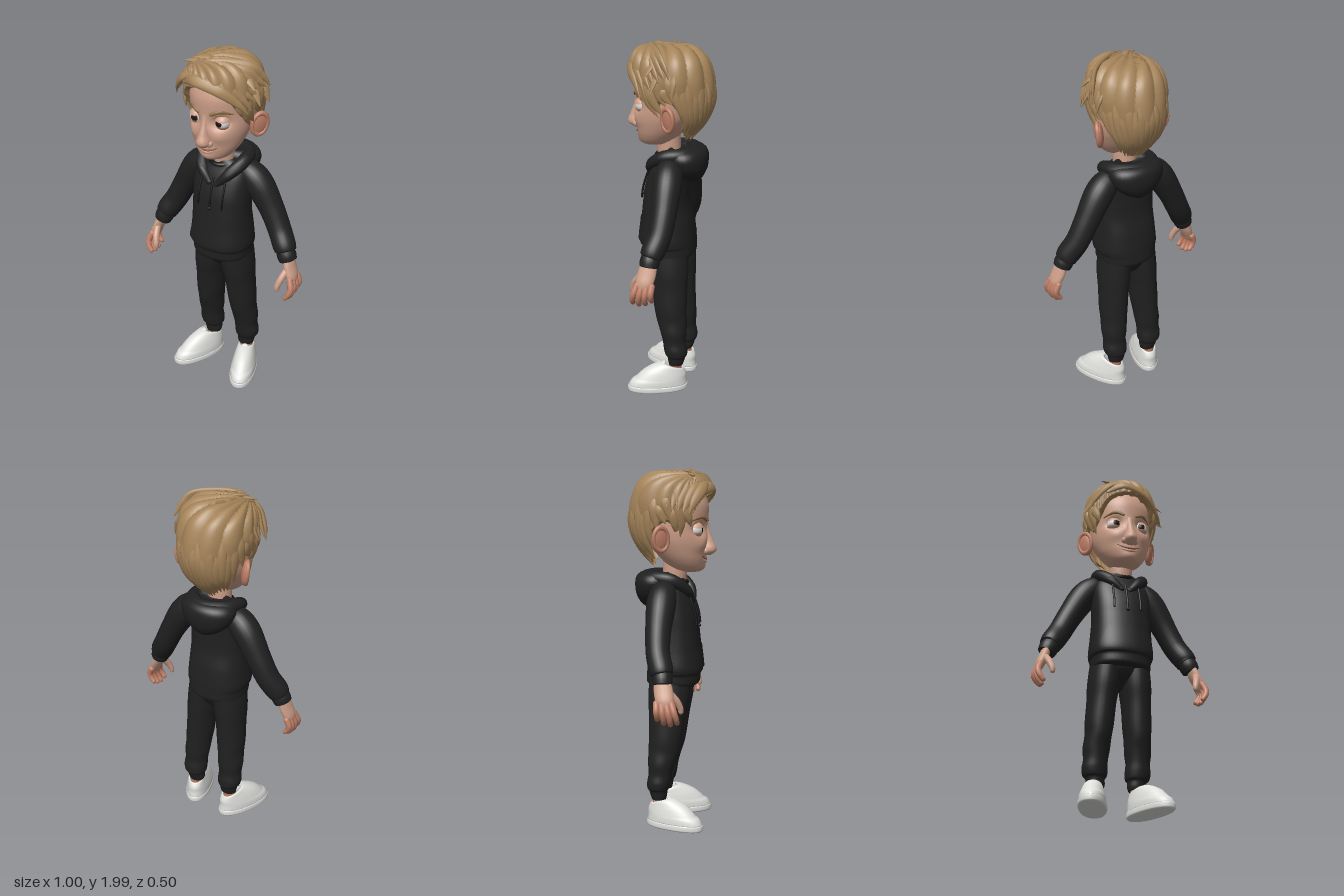
import * as THREE from 'three';
import { ParametricGeometry } from 'three/addons/geometries/ParametricGeometry.js';

const { clamp, lerp } = THREE.MathUtils;
const mat = (name, color, side = THREE.FrontSide) => {
  const m = new THREE.MeshStandardMaterial({ color, side });
  m.name = name;
  return m;
};

// Smooth interpolation through rows of numbers; t runs over row indices
function rowAt(rows, t) {
  const n = rows.length, i = clamp(Math.floor(t), 0, n - 2), f = clamp(t - i, 0, 1);
  const a = rows[Math.max(i - 1, 0)], b = rows[i], c = rows[i + 1], d = rows[Math.min(i + 2, n - 1)];
  return b.map((p, k) => p + 0.5 * f * (c[k] - a[k] + f * (2 * a[k] - 5 * p + 4 * c[k] - d[k] + f * (3 * (p - c[k]) + d[k] - a[k]))));
}
// Same, looked up by the first number of each row
function rowBy(rows, key) {
  let i = 0;
  while (i < rows.length - 2 && rows[i + 1][0] < key) i++;
  return rowAt(rows, i + clamp((key - rows[i][0]) / (rows[i + 1][0] - rows[i][0]), 0, 1));
}
const soft = (s, e) => Math.sign(s) * Math.abs(s) ** e;
const ring = ([y, x, z, rx, rz], a, e, k, target) =>
  target.set(x + rx * k * soft(Math.sin(a), e), y, z + rz * k * soft(Math.cos(a), e));

// Closed body from horizontal rings [y, x, z, rx, rz]; angle 0 faces the front
function loft(rows, { e = 1, sides = 32, steps = 4, shape } = {}) {
  const n = (rows.length - 1) * steps;
  return new ParametricGeometry((u, v, p) => {
    const w = v * (n + 2), cap = 0.001 + 0.999 * clamp(Math.min(w, n + 2 - w), 0, 1);
    ring(rowAt(rows, clamp(w - 1, 0, n) / steps), u * Math.PI * 2, e, cap, p);
    if (shape) shape(p);
  }, sides, n + 2);
}

// Tapering tube through [x, y, z, radius]; flat scales it along ref, cap is the length of its rounded ends
function limb(pts, { ref = [0, 0, 1], flat = 1, sides = 12, steps = 5, cap = 1 } = {}) {
  const m = (pts.length - 1) * steps, R = new THREE.Vector3(...ref);
  return new ParametricGeometry((u, v, p) => {
    const w = v * (m + 6) - 3, t = clamp(w, 0, m) / steps, c = rowAt(pts, t);
    const q = rowAt(pts, Math.max(t - 0.02, 0)), s = rowAt(pts, Math.min(t + 0.02, pts.length - 1));
    const T = new THREE.Vector3(s[0] - q[0], s[1] - q[1], s[2] - q[2]).normalize();
    const B = new THREE.Vector3().crossVectors(T, R).normalize();
    const N = new THREE.Vector3().crossVectors(B, T);
    const over = w < 0 ? w : Math.max(w - m, 0), th = over / 3 * 1.55, r = c[3] * Math.cos(th), a = u * Math.PI * 2;
    p.set(c[0], c[1], c[2]).addScaledVector(T, c[3] * cap * Math.sin(th))
      .addScaledVector(N, Math.cos(a) * r * flat).addScaledVector(B, Math.sin(a) * r);
  }, sides, m + 6);
}
const flip = (pts, s) => pts.map(([x, ...rest]) => [x * s, ...rest]);

const TORSO = [[.8, 0, .01, .155, .135], [.815, 0, .01, .167, .148], [.86, 0, .012, .17, .15], [.875, 0, .018, .178, .155],
  [.91, 0, .02, .181, .155], [1, 0, .02, .173, .145], [1.1, 0, .025, .168, .13], [1.2, 0, .02, .168, .122],
  [1.3, 0, .003, .165, .108], [1.36, 0, -.005, .14, .09], [1.395, 0, 0, .09, .075]];
const HEAD = [[1.43, 0, .105, .035, .045], [1.45, 0, .085, .085, .09], [1.5, 0, .065, .125, .124], [1.56, 0, .04, .152, .152],
  [1.62, 0, .02, .168, .183], [1.7, 0, 0, .174, .2], [1.8, 0, 0, .174, .202], [1.88, 0, 0, .14, .165], [1.93, 0, 0, .07, .08]];
const HAIR = [[1.46, 0, -.03, .09, .07], [1.52, 0, -.03, .13, .112], [1.58, 0, -.03, .16, .165], [1.65, 0, -.02, .183, .208],
  [1.73, 0, 0, .2, .24], [1.82, 0, 0, .21, .23], [1.9, 0, .01, .195, .212], [1.95, 0, .02, .155, .175],
  [1.975, 0, .02, .1, .12], [1.985, 0, .02, .003, .003]];
const HAIRLINE = [[0, 1.85], [.6, 1.82], [1, 1.73], [1.25, 1.64], [1.5, 1.7], [1.8, 1.68], [2.1, 1.53], [Math.PI, 1.465]];
const on = (rows, y, a, k = 1, e = 1) => ring(rowBy(rows, y), a, e, k, new THREE.Vector3());
const faceZ = (x, y) => { const [, , z, rx, rz] = rowBy(HEAD, y); return z + rz * Math.sqrt(Math.max(0, 1 - (x / rx) ** 2)); };

export function createModel() {
  const model = new THREE.Group();
  const skin = mat('skin', 0xcc9e88), blush = mat('flushed skin', 0xc08068), lip = mat('lip', 0x8f5548);
  const hair = mat('hair', 0xa5845a, THREE.DoubleSide), brow = mat('brow', 0x8f6d45);
  const cloth = mat('black cloth', 0x202020, THREE.DoubleSide), trim = mat('dark trim', 0x121212);
  const white = mat('white', 0xdededb), grey = mat('grey', 0xb4b4b0), dark = mat('eye brown', 0x1e140f);
  const add = (name, geo, material, parent = model) => {
    const m = new THREE.Mesh(geo, material);
    m.name = name;
    parent.add(m);
    return m;
  };

  // Hoodie body, pocket and hood
  add('hoodieBody', loft(TORSO, { e: .85, sides: 40 }), cloth);
  add('frontPocket', new ParametricGeometry((u, v, p) => {
    const edge = Math.min(u, 1 - u, v, 1 - v) < .04 ? 1 : 1.035;
    ring(rowBy(TORSO, lerp(.89, 1.03, v)), (u * 2 - 1) * lerp(1.05, .6, v ** 2), .85, edge, p);
  }, 30, 26), cloth);
  add('hoodBag', loft([[1.235, 0, -.125, .03, .025], [1.26, 0, -.112, .085, .065], [1.31, 0, -.1, .14, .1], [1.37, 0, -.09, .165, .115],
    [1.41, 0, -.085, .15, .108], [1.43, 0, -.08, .11, .08], [1.415, 0, -.07, .07, .055]]), cloth);
  const rim = [[.025, 1.27, .115, .018], [.085, 1.335, .09, .032], [.128, 1.39, .01, .038], [.1, 1.4, -.09, .04]];
  add('hoodRim', limb([...rim, [0, 1.395, -.135, .045], ...flip(rim, -1).reverse()], { ref: [0, 1, 0], steps: 6 }), cloth);
  add('zip', limb([1.3, 1.24, 1.18, 1.13].map(y => { const p = on(TORSO, y, 0); return [0, y, p.z + .002, .006]; })), trim);
  add('zipPull', new THREE.SphereGeometry(.01, 10, 8), trim).position.set(0, 1.13, .155);
  add('shirtCollar', new THREE.TorusGeometry(.07, .012, 8, 32).rotateX(Math.PI / 2 + .2).translate(0, 1.385, .015), trim);
  add('necklace', new THREE.TorusGeometry(.072, .004, 6, 32).rotateX(Math.PI / 2 + .45).translate(0, 1.355, .03), grey);
  add('neck', limb([[0, 1.32, 0, .06], [0, 1.4, .015, .066], [0, 1.52, .02, .068]], { sides: 24 }), skin);
  add('hips', loft([[.7, 0, -.005, .02, .03], [.735, 0, -.003, .1, .075], [.785, 0, 0, .16, .108], [.83, 0, 0, .165, .122]]), cloth);

  // Head with eye sockets, cheeks and chin
  const bell = (p, x, y, w, h) => Math.exp(-(((Math.abs(p.x) - x) / w) ** 2) - ((p.y - y) / h) ** 2);
  add('head', loft(HEAD, { sides: 64, steps: 6, shape: p => {
    if (p.z > .05) p.z += .012 * bell(p, .085, 1.575, .05, .035) - .04 * bell(p, .08, 1.665, .04, .033) + .008 * bell(p, 0, 1.455, .04, .025);
  } }), skin);
  add('nose', loft([[1.522, 0, .195, .016, .02], [1.54, 0, .2, .036, .042], [1.562, 0, .2, .038, .048], [1.6, 0, .19, .028, .043],
    [1.66, 0, .18, .021, .03], [1.72, 0, .175, .024, .022]], { sides: 20 }), skin);
  const arc = (w, y, bend, r, out) => [-1, -.5, 0, .5, 1].map(k =>
    [k * w, y + bend * k * k, faceZ(k * w, y + bend * k * k) + out, r * (1.15 - Math.abs(k) * .6)]);
  add('mouth', limb(arc(.066, 1.5, .022, .0045, .002)), lip);
  add('lowerLip', limb(arc(.04, 1.488, .008, .009, -.002)), skin);

  for (const s of [1, -1]) {
    // Eye with heavy lids, brow and nose wing
    const eye = new THREE.Group();
    eye.name = s > 0 ? 'leftEye' : 'rightEye';
    eye.position.set(.079 * s, 1.664, .14);
    model.add(eye);
    add('eyeball', new THREE.SphereGeometry(.041, 24, 16), white, eye);
    add('iris', new THREE.SphereGeometry(.0422, 20, 6, 0, Math.PI * 2, 0, .5).rotateX(Math.PI / 2).rotateY(-.1 * s), dark, eye);
    add('upperLid', new THREE.SphereGeometry(.0455, 24, 12, 0, Math.PI * 2, 0, 1.22).rotateX(.1).rotateZ(-.12 * s), skin, eye);
    add('lowerLid', new THREE.SphereGeometry(.0445, 24, 10, 0, Math.PI * 2, 1.95, Math.PI - 1.95), skin, eye);
    add('eyebrow', limb([[.04, 1.714], [.085, 1.732], [.135, 1.714]].map(([x, y], i) =>
      [x * s, y, faceZ(x, y) + .001, [.009, .01, .004][i]]), { flat: .7 }), brow);
    add('noseWing', new THREE.SphereGeometry(.02, 14, 10).translate(.03 * s, 1.546, .193), skin);

    // Ear
    const ear = new THREE.Group();
    ear.name = s > 0 ? 'leftEar' : 'rightEar';
    ear.position.set(.194 * s, 1.615, -.035);
    ear.rotation.set(-.15, -.6 * s, -.18 * s);
    model.add(ear);
    add('earShell', new THREE.SphereGeometry(1, 20, 14).scale(.02, .072, .05), blush, ear);
    add('earRim', new THREE.TorusGeometry(.05, .012, 8, 28).rotateY(Math.PI / 2).scale(1, 1.25, .88).translate(.008 * s, .003, 0), blush, ear);

    // Sleeve, cuff and hand
    add('sleeve', limb(flip([[.08, 1.345, -.02, .05], [.15, 1.315, -.025, .074], [.21, 1.255, -.03, .08], [.285, 1.13, -.033, .07],
      [.342, 1.02, -.025, .066], [.388, .945, -.002, .065], [.4, .918, .005, .06]], s), { sides: 24, cap: .2 }), cloth);
    add('cuff', limb(flip([[.395, .93, .004, .05], [.412, .895, .01, .054], [.424, .868, .012, .05]], s), { sides: 20, cap: .15 }), cloth);
    add('palm', limb(flip([[.43, .87, .012, .025], [.443, .83, .02, .027], [.462, .785, .028, .025], [.47, .755, .028, .018]], s), { flat: 1.9, sides: 16 }), skin);
    add('thumb', limb(flip([[.44, .83, .045, .02], [.425, .785, .085, .019], [.413, .745, .104, .017], [.41, .722, .108, .014]], s)), skin);
    for (let i = 0; i < 4; i++) {
      const z = .066 - i * .027, len = [.095, .105, .098, .078][i];
      add('finger', limb(flip([[.468, .775, z, .018], [.483, .77 - len * .4, z * 1.15 + .005, .0175],
        [.476, .77 - len * .75, z * 1.25 + .008, .016], [.458, .767 - len, z * 1.3 + .008, .014]], s)), blush);
    }

    // Trouser leg with gathered ankle
    add('trouserLeg', loft([[.15, .115, -.057, .045, .04], [.17, .115, -.058, .05, .046], [.2, .118, -.06, .053, .053], [.215, .12, -.06, .066, .062],
      [.25, .122, -.056, .071, .067], [.3, .12, -.048, .067, .067], [.36, .118, -.042, .074, .076], [.43, .112, -.03, .073, .087],
      [.5, .108, -.022, .079, .093], [.62, .1, -.013, .081, .103], [.72, .092, -.005, .088, .114], [.82, .085, 0, .085, .118]]
      .map(([y, x, ...r]) => [y, x * s, ...r]), { sides: 28 }), cloth);
    add('ankle', limb([[.12 * s, .09, -.05, .038], [.117 * s, .18, -.057, .038]]), blush);
    add('drawstring', limb([1.33, 1.27, 1.2, 1.14].map(y => {
      const p = on(TORSO, y, .4 * s, 1.02, .85);
      return [p.x, y, p.z + .006, .006];
    })), trim);

    // Shoe, its opening dipping towards the heel
    const shoe = new THREE.Group();
    shoe.name = s > 0 ? 'leftShoe' : 'rightShoe';
    shoe.position.set(.16 * s, 0, .04);
    shoe.rotation.y = .37 * s;
    model.add(shoe);
    add('sole', loft([[0, 0, 0, .07, .168], [.008, 0, 0, .076, .174], [.028, 0, 0, .076, .174], [.034, 0, 0, .073, .171]], { e: .9 }), white, shoe);
    add('shoeUpper', loft([[.032, 0, 0, .072, .169], [.065, 0, -.008, .07, .157], [.095, 0, -.035, .062, .131], [.12, 0, -.063, .054, .1],
      [.143, 0, -.086, .047, .068], [.147, 0, -.088, .039, .058], [.13, 0, -.088, .036, .052]],
    { e: .9, shape: p => { p.y += .32 * (p.z + .09) * clamp((p.y - .08) / .06, 0, 1); } }), white, shoe);
    add('tongue', limb([[0, .105, .065, .022], [0, .135, .01, .025], [0, .16, -.028, .022]], { flat: .4, ref: [0, 1, 0] }), white, shoe);
    for (let i = 0; i < 5; i++) {
      const z = .075 - i * .024, y = .108 + i * .0125;
      add('lace', limb([[-.034, y - .012, z, .0035], [0, y + .003, z + .004, .0045], [.034, y - .012, z, .0035]]), grey, shoe);
    }
  }

  // Hair cap, ridged in strands that fan out from the parting
  const low = a => rowBy(HAIRLINE, Math.abs(a))[1];
  add('hairCap', new ParametricGeometry((u, v, p) => {
    const a = (u * 2 - 1) * Math.PI, y = lerp(low(a), 1.985, Math.sin(v * Math.PI / 2));
    ring(rowBy(HAIR, y), a, 1, Math.min(1, .86 + v * 3), p);
    const dx = p.x + .11, dz = p.z - .13, d = Math.hypot(dx, dz);
    const k = 1 + .055 * Math.min(1, d * 6) * (Math.abs(Math.sin(11 * Math.atan2(dx, dz) + d * 7)) - .6);
    p.set(p.x * k, 1.72 + (p.y - 1.72) * k, p.z * k);
  }, 240, 56), hair);

  // Locks emerging along the sides and back, tips breaking the hairline
  const lock = (pts, ref) => add('hairLock', limb(pts, { ref, flat: .45, sides: 10 }), hair);
  for (let i = 0; i < 28; i++) {
    const a = 1.05 + i / 27 * (Math.PI * 2 - 2.1), az = a > Math.PI ? a - Math.PI * 2 : a;
    const end = low(az) - .008 + .014 * Math.sin(i * 5.3), top = 1.84 + .04 * Math.sin(i * 2.7);
    lock([0, .35, .7, 1].map((f, j) => {
      const p = on(HAIR, lerp(top, end, f), az + .2 * f * f - .1, [.93, .985, 1, 1.03][j]);
      return [p.x, p.y, p.z, [.012, .026, .022, .003][j]];
    }), [Math.sin(az), .2, Math.cos(az)]);
  }
  // Swept fringe running from the parting towards the left temple
  for (let i = 0; i < 7; i++) {
    const h = i * .015, b = i * .028;
    lock([[-.13 + i * .012, 1.86 + h, .185 - b * .3, .014], [-.04 + i * .008, 1.895 + h * .75, .224 - b * .6, .031],
      [.09 + i * .012, 1.862 + h, .205 - b, .031], [.175 + i * .007, 1.79 + h * 1.2, .15 - b, .02],
      [.215 + i * .005, 1.73 + h * 1.3 + .012 * Math.sin(i * 4), .115 - b, .003]], [.3, .5, 1]);
  }
  // Locks falling to the right temple
  for (let i = 0; i < 5; i++)
    lock([[-.08 - i * .012, 1.915 + i * .006, .2 - i * .035, .014], [-.14 - i * .008, 1.885 + i * .006, .185 - i * .035, .03],
      [-.195, 1.82 + i * .004, .15 - i * .035, .024], [-.222 - (i % 2) * .012, 1.755 + i * .008, .125 - i * .03, .003]], [-1, .4, .6]);
  // Loose flicks on the crown and left side
  for (const [x, y, z, tx, ty, tz] of [[-.04, 1.95, .1, -.155, 1.955, .14], [.06, 1.95, .08, .17, 1.93, .1], [.15, 1.91, .05, .235, 1.85, .08],
    [.18, 1.86, .03, .25, 1.76, .05], [0, 1.96, .06, -.11, 1.975, .12], [.19, 1.85, -.06, .235, 1.74, -.06]])
    lock([[x, y, z, .014], [lerp(x, tx, .45), lerp(y, ty, .45) + .008, lerp(z, tz, .45), .024], [tx, ty, tz, .003]], [.1, 1, .3]);

  return model;
}
